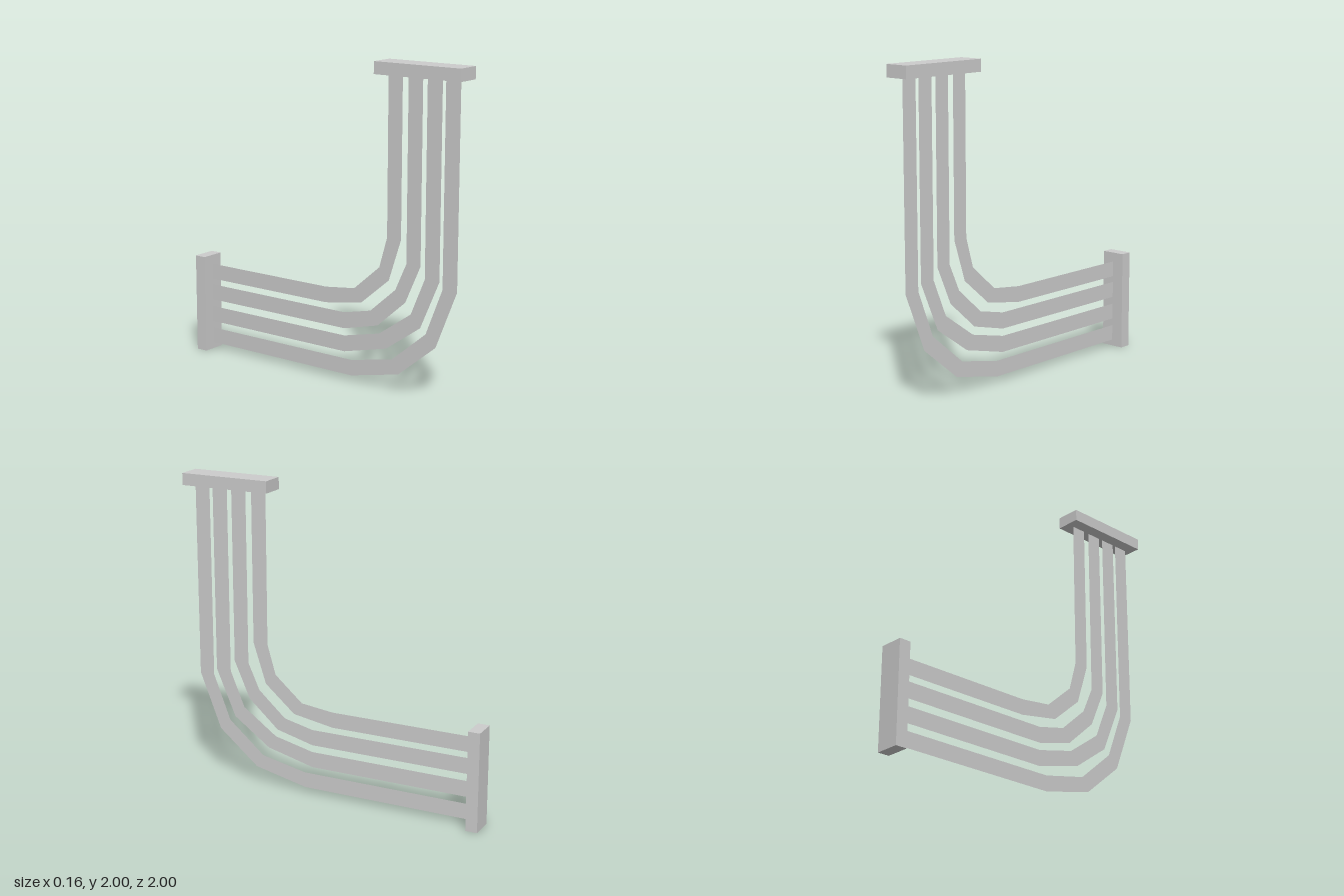
import * as THREE from 'three';

const plateMaterial = new THREE.MeshStandardMaterial({ color: 0xcccccc, flatShading: true });
const ribbonMaterial = new THREE.MeshStandardMaterial({ color: 0xcccccc, side: THREE.DoubleSide });

const TOP = 1.925;   // underside of the upper plate
const BACK = -0.925; // front face of the rear plate

// Bend corners of each flat strip as [z, y], from the upright run to the level run
const strips = [
  {
    outer: [[0.955, 0.695], [0.813, 0.335], [0.55, 0.118], [0.2, 0.04]],
    inner: [[0.855, 0.695], [0.742, 0.405], [0.502, 0.203], [0.2, 0.14]],
  },
  {
    outer: [[0.833, 0.737], [0.703, 0.435], [0.46, 0.263], [0.147, 0.185]],
    inner: [[0.731, 0.737], [0.635, 0.508], [0.408, 0.348], [0.147, 0.287]],
  },
  {
    outer: [[0.7, 0.81], [0.595, 0.573], [0.395, 0.396], [0.147, 0.333]],
    inner: [[0.6, 0.81], [0.523, 0.64], [0.342, 0.48], [0.147, 0.435]],
  },
  {
    outer: [[0.56, 0.95], [0.475, 0.69], [0.275, 0.52], [0.005, 0.474]],
    inner: [[0.46, 0.95], [0.405, 0.76], [0.22, 0.6], [0.005, 0.574]],
  },
];

// Extends a bend straight up to the upper plate and straight back to the rear plate
function edge(bend) {
  const start = [bend[0][0], TOP];
  const end = [BACK, bend[bend.length - 1][1]];
  return [start, ...bend, end].map(([z, y]) => new THREE.Vector2(z, y));
}

function makeStrip({ outer, inner }) {
  const shape = new THREE.Shape([...edge(outer), ...edge(inner).reverse()]);
  const geometry = new THREE.ShapeGeometry(shape).rotateY(-Math.PI / 2);
  return new THREE.Mesh(geometry, ribbonMaterial);
}

function makePlate(name, height, depth, y, z) {
  const plate = new THREE.Mesh(new THREE.BoxGeometry(0.156, height, depth), plateMaterial);
  plate.name = name;
  plate.position.set(0, y, z);
  return plate;
}

export function createModel() {
  const model = new THREE.Group();
  model.name = 'bentStripAssembly';

  // End plates
  model.add(makePlate('topPlate', 0.075, 0.59, 1.9625, 0.705));
  model.add(makePlate('rearPlate', 0.634, 0.075, 0.317, -0.9625));

  // Four nested flat strips bending from upright to level
  const bundle = new THREE.Group();
  bundle.name = 'strips';
  strips.forEach((strip, i) => {
    const mesh = makeStrip(strip);
    mesh.name = `strip${i + 1}`;
    bundle.add(mesh);
  });
  model.add(bundle);

  return model;
}
